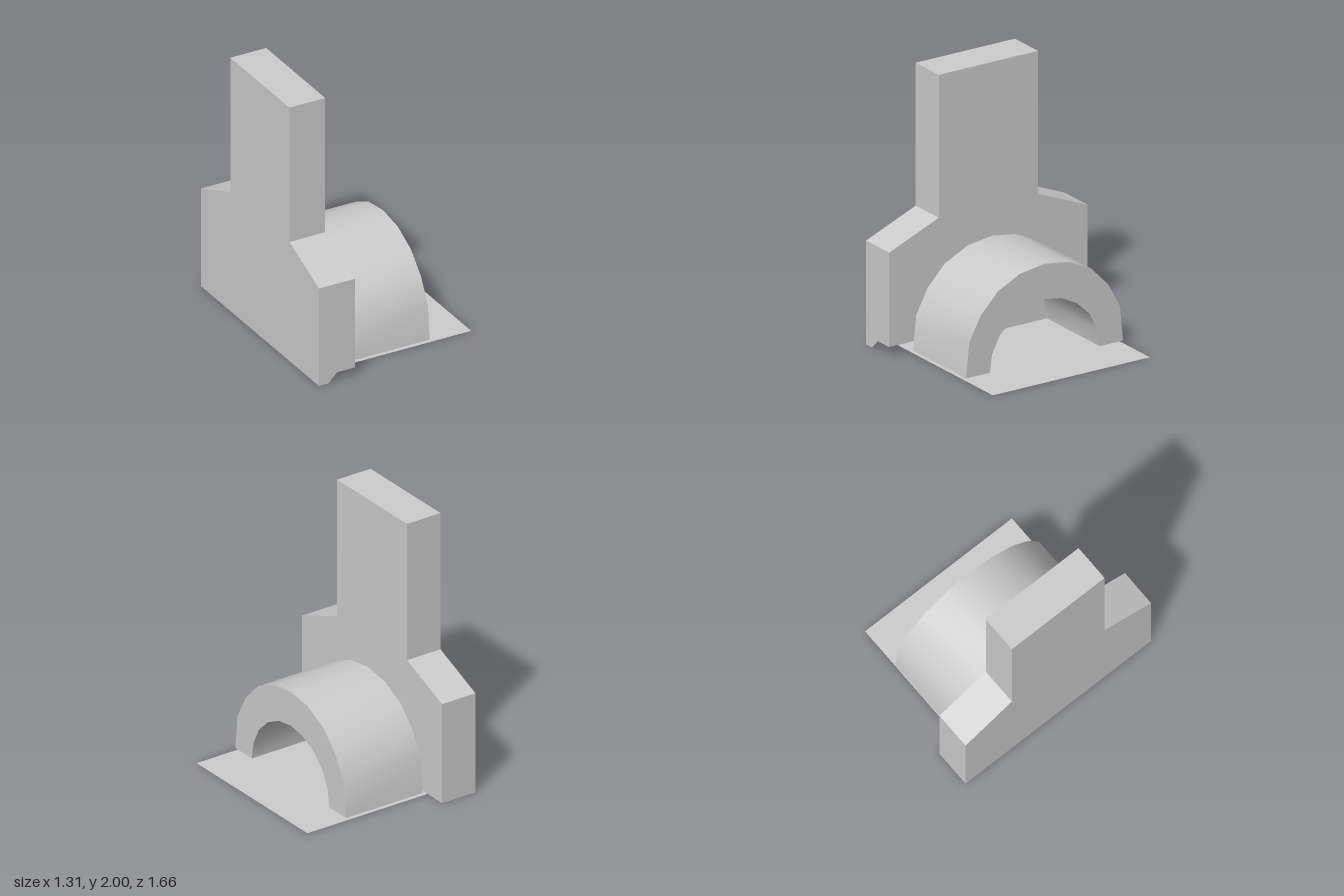
import * as THREE from 'three';
import { toCreasedNormals } from 'three/addons/utils/BufferGeometryUtils.js';

const material = new THREE.MeshStandardMaterial({ color: 0xcccccc });
const sheetMaterial = new THREE.MeshStandardMaterial({ color: 0xcccccc, side: THREE.DoubleSide });

// Extrudes a (-z, y) outline along +x, starting from x = 0
function extrudeAlongX(points, depth, steps = 1) {
  const shape = new THREE.Shape(points.map(([s, y]) => new THREE.Vector2(s, y)));
  return new THREE.ExtrudeGeometry(shape, { depth, steps, bevelEnabled: false }).rotateY(Math.PI / 2);
}

function addMesh(group, name, geometry, mat = material) {
  const mesh = new THREE.Mesh(geometry, mat);
  mesh.name = name;
  group.add(mesh);
}

// Stepped upright wall; its front lower corner is undercut with a chamfer
function wallGeometry() {
  const notch = 0.07;
  const outline = [
    [-0.83, notch], [-0.41, notch], [0, 0], [0.83, 0], [0.83, 0.77], [0.415, 0.94],
    [0.415, 2], [-0.415, 2], [-0.415, 0.94], [-0.83, 0.77],
  ];
  const layers = [-0.655, -0.58, -0.51, -0.37];
  const geometry = extrudeAlongX(outline, 3, 3);
  const p = geometry.attributes.position;
  for (let i = 0; i < p.count; i++) {
    const layer = Math.round(p.getX(i));
    p.setX(i, layers[layer]);
    // The undercut only reaches the two layers nearest the arch
    if (layer < 2 && p.getY(i) < 0.1) p.setY(i, 0);
  }
  geometry.computeVertexNormals();
  return geometry;
}

// Faceted half ring, smooth along its curved faces
function archGeometry() {
  const outer = [[0.657, 0.02], [0.63, 0.28], [0.535, 0.46], [0.39, 0.61], [0.205, 0.7]];
  const inner = [[0.46, 0.02], [0.44, 0.15], [0.375, 0.28], [0.27, 0.38], [0.14, 0.445]];
  const span = (half, top) => [
    ...half, [0, top], ...half.map(([s, y]) => [-s, y]).reverse(),
  ];
  const outline = [...span(outer, 0.73), ...span(inner, 0.467).reverse()];
  return toCreasedNormals(extrudeAlongX(outline, 0.655).translate(-0.33, 0, 0), 0.6);
}

export function createModel() {
  const model = new THREE.Group();
  model.name = 'archAndWall';
  addMesh(model, 'wall', wallGeometry());
  addMesh(model, 'arch', archGeometry());
  // Thin ground sheet under the arch
  addMesh(model, 'baseSheet', new THREE.PlaneGeometry(1.31, 1.315).rotateX(-Math.PI / 2), sheetMaterial);
  return model;
}
